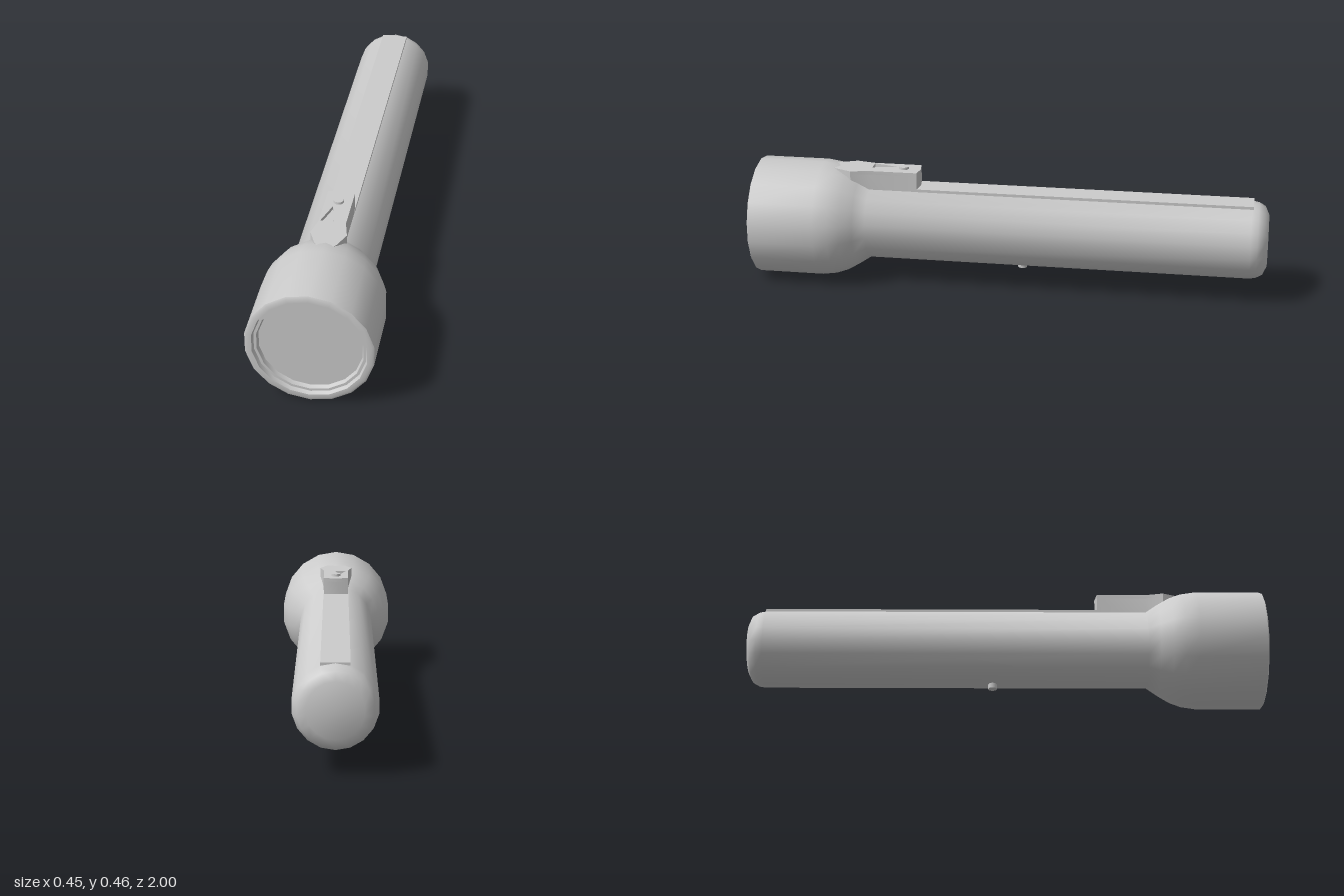
import * as THREE from 'three';
import { toCreasedNormals } from 'three/addons/utils/BufferGeometryUtils.js';

const AXIS_Y = 0.232;

export function createModel() {
  const model = new THREE.Group();
  const material = new THREE.MeshStandardMaterial({ color: 0xcccccc });

  function add(name, geometry, parent = model) {
    const mesh = new THREE.Mesh(geometry, material);
    mesh.name = name;
    parent.add(mesh);
    return mesh;
  }

  // Turned part along z, from [radius, z] pairs running back to front
  function turned(name, profile) {
    const g = new THREE.LatheGeometry(profile.map(([r, z]) => new THREE.Vector2(r, z)), 18);
    g.rotateX(Math.PI / 2);
    g.translate(0, AXIS_Y, 0);
    return add(name, toCreasedNormals(g, 0.75));
  }

  // Upright slab whose plan is given in x and z
  function slab(name, shape, y0, y1, parent) {
    const g = new THREE.ExtrudeGeometry(shape, { depth: y1 - y0, bevelEnabled: false });
    g.rotateX(Math.PI / 2);
    g.translate(0, y1, 0);
    return add(name, toCreasedNormals(g, 0.5), parent);
  }

  // Handle tube with rounded tail, flaring into the head
  turned('body', [
    [0, -1], [0.1, -1], [0.132, -0.985], [0.146, -0.96], [0.15, -0.935],
    [0.15, 0.55], [0.18, 0.595], [0.206, 0.64], [0.222, 0.685], [0.23, 0.74],
    [0.23, 0.996],
  ]);

  // Stepped rim around the lens
  turned('rim', [
    [0.23, 0.996], [0.222, 1], [0.205, 1], [0.2, 0.985], [0.19, 0.985], [0.185, 0.97],
  ]);
  turned('lens', [[0.186, 0.97], [0, 0.97]]);

  // Flat raised strip along the top of the handle
  const strip = add('topStrip', new THREE.BoxGeometry(0.102, 0.03, 1.31));
  strip.position.set(0, 0.369, -0.285);

  // Switch housing, blending forward into the head
  const housing = new THREE.Group();
  housing.name = 'switchHousing';
  model.add(housing);
  const plan = () => new THREE.Shape([
    [-0.05, 0.36], [0, 0.353], [0.05, 0.36], [0.05, 0.55], [0.066, 0.62],
    [0.04, 0.68], [0, 0.73], [-0.04, 0.68], [-0.066, 0.62], [-0.05, 0.55],
  ].map(([x, z]) => new THREE.Vector2(x, z)));
  slab('housingBase', plan(), 0.3, 0.436, housing);
  const cover = plan();
  cover.holes.push(new THREE.Path([
    [-0.015, 0.45], [-0.044, 0.545], [0.005, 0.545],
  ].map(([x, z]) => new THREE.Vector2(x, z))));
  slab('housingTop', cover, 0.436, 0.45, housing);

  // Push button on the housing
  const button = add('button', new THREE.CylinderGeometry(0.019, 0.021, 0.02, 10), housing);
  button.position.set(0, 0.449, 0.42);

  // Small stud under the handle
  const stud = add('stud', new THREE.CylinderGeometry(0.018, 0.018, 0.04, 8));
  stud.position.set(0, 0.085, -0.05);

  return model;
}
